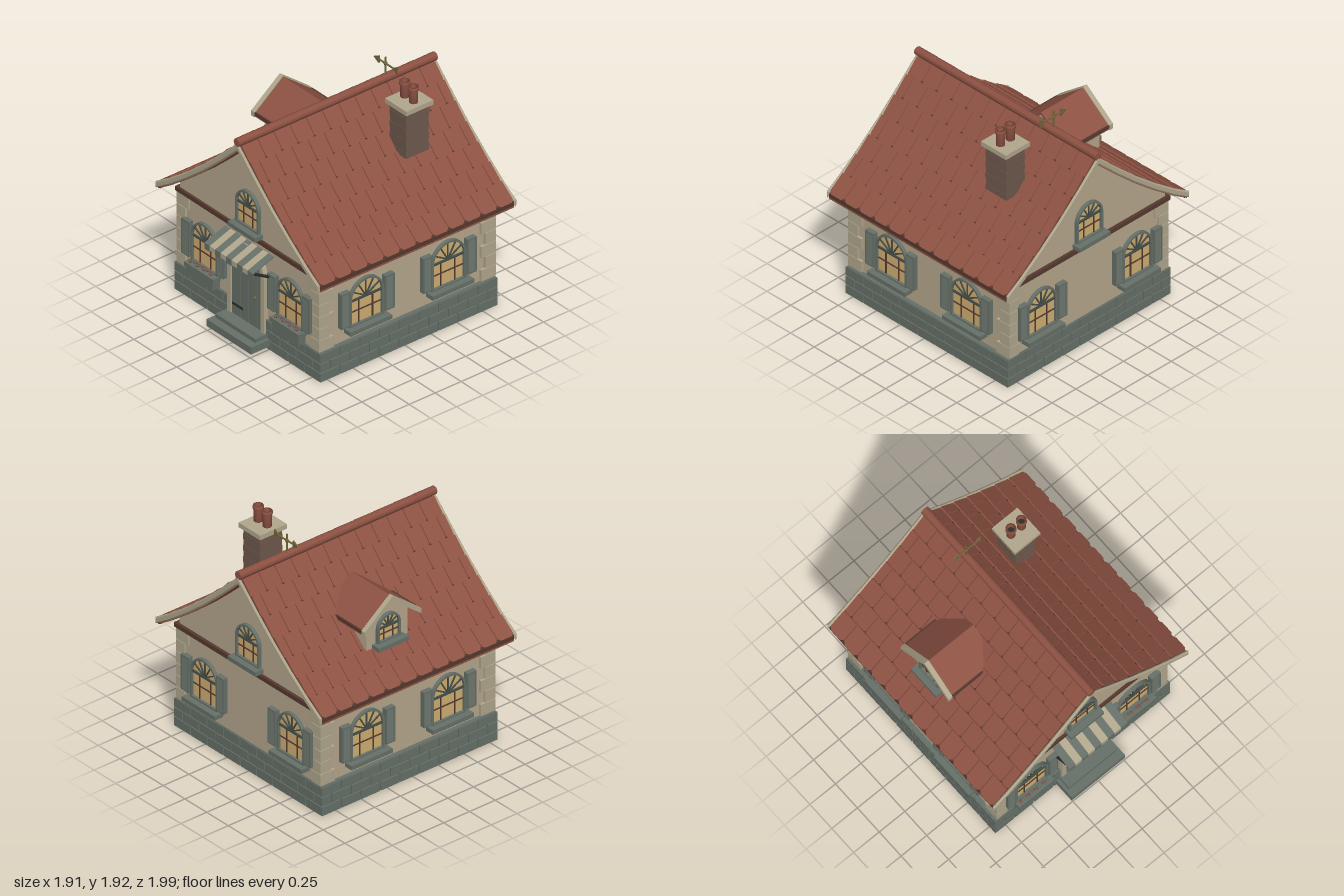
import * as THREE from 'three';
import { mergeGeometries } from 'three/addons/utils/BufferGeometryUtils.js';

const mat = (name, color) => {
  const m = new THREE.MeshStandardMaterial({ color });
  m.name = name;
  return m;
};

export function createModel() {
  const plaster = mat('plaster', 0xb5a68c), trim = mat('pale stone', 0xb0a68c), stone = mat('grey green stone', 0x667068);
  const mortar = mat('mortar', 0x454d48), dark = mat('dark iron', 0x2a2e2b), tileRed = mat('roof tile red', 0x8e5243);
  const brown = mat('dark brown', 0x55392f), brick = mat('chimney brick', 0x6e594c);
  const glass = mat('lit glass', 0xcfae72), brass = mat('aged brass', 0x70653a);

  const house = new THREE.Group();
  house.name = 'cottage';
  const add = (parent, name, geo, m, x = 0, y = 0, z = 0) => {
    const mesh = new THREE.Mesh(geo, m);
    mesh.name = name;
    mesh.position.set(x, y, z);
    parent.add(mesh);
    return mesh;
  };
  const group = (parent, name, x = 0, y = 0, z = 0, ry = 0) => {
    const g = new THREE.Group();
    g.name = name;
    g.position.set(x, y, z);
    g.rotation.y = ry;
    parent.add(g);
    return g;
  };
  // box given by its limits on each axis
  const span = (x0, x1, y0, y1, z0, z1) =>
    new THREE.BoxGeometry(x1 - x0, y1 - y0, z1 - z0).translate((x0 + x1) / 2, (y0 + y1) / 2, (z0 + z1) / 2);
  const extrude = (shape, z0, z1) =>
    new THREE.ExtrudeGeometry(shape, { depth: z1 - z0, bevelEnabled: false, curveSegments: 12 }).translate(0, 0, z0);
  const poly = (pts) => new THREE.Shape(pts.map(([x, y]) => new THREE.Vector2(x, y)));
  const rod = (parent, name, a, b, r, m) => {
    const p = new THREE.Vector3(...a), q = new THREE.Vector3(...b);
    const mesh = add(parent, name, new THREE.CylinderGeometry(r, r, p.distanceTo(q), 8), m);
    mesh.position.copy(p).lerp(q, 0.5);
    mesh.quaternion.setFromUnitVectors(new THREE.Vector3(0, 1, 0), q.sub(p).normalize());
  };
  const arch = (hw, base, spring) => {
    const s = new THREE.Shape();
    s.moveTo(-hw, base);
    s.lineTo(hw, base);
    s.lineTo(hw, spring);
    s.absarc(0, spring, hw, 0, Math.PI, false);
    s.closePath();
    return s;
  };

  const X = 0.81, ZF = 0.80, ZB = -0.87;
  const profile = [[0, 1.7], [0.2, 1.507], [0.4, 1.325], [0.6, 1.16], [0.8, 1.01], [0.945, 0.915]];
  const mirrored = (dy, pts = profile) => [...pts.map(([x, y]) => [-x, y + dy]).reverse(), ...pts.slice(1).map(([x, y]) => [x, y + dy])];
  const band = (top, bottom) => poly([...mirrored(bottom), ...mirrored(top).reverse()]);

  // walls with both gables
  add(house, 'walls', extrude(poly([[-X, 0.2], ...mirrored(-0.03, [...profile.slice(0, 4), [X, 1.003]]), [X, 0.2]]), ZB, ZF), plaster);
  add(house, 'beam', span(-0.845, 0.845, 0.87, 0.907, ZB - 0.025, ZF + 0.02), brown);

  // foundation of staggered blocks over a mortar core
  add(house, 'foundationCore', span(-0.838, 0.838, 0, 0.235, ZB - 0.005, ZF + 0.008), mortar);
  const blocks = [];
  const hw = 0.852, z0 = -0.886, z1 = 0.82, gap = 0.005;
  for (let c = 0; c < 3; c++) {
    const y0 = 0.004 + c * 0.082, y1 = y0 + 0.074;
    const run = (from, to, put) => {
      const n = 9, w = (to - from) / n;
      for (let i = 0; i <= n; i++) {
        const a = Math.max(from, from + (i - (c % 2) / 2) * w), b = Math.min(to, from + (i + 1 - (c % 2) / 2) * w);
        if (b - a > 0.01) put(a === from ? a : a + gap, b === to ? b : b - gap);
      }
    };
    run(-hw, hw, (a, b) => blocks.push(span(a, b, y0, y1, z1 - 0.04, z1), span(a, b, y0, y1, z0, z0 + 0.04)));
    run(z0, z1, (a, b) => blocks.push(span(hw - 0.04, hw, y0, y1, a, b), span(-hw, -hw + 0.04, y0, y1, a, b)));
  }
  blocks.push(span(-0.846, 0.846, 0.236, 0.248, z0 + 0.006, z1 - 0.006));
  add(house, 'foundationBlocks', mergeGeometries(blocks), stone);

  // corner quoins, long and short in turn
  const quoins = [];
  for (const sx of [-1, 1]) for (const sz of [-1, 1]) for (let i = 0; i < 6; i++) {
    const w = i % 2 ? 0.14 : 0.1, d = i % 2 ? 0.1 : 0.14, h = 0.103;
    const cz = sz > 0 ? ZF + 0.015 - d / 2 : ZB - 0.015 + d / 2;
    quoins.push(new THREE.BoxGeometry(w, h - 0.005, d).translate(sx * (0.832 - w / 2), 0.25 + (i + 0.5) * h, cz));
  }
  add(house, 'quoins', mergeGeometries(quoins), trim);

  // roof deck, soffit, chamfered verge boards, eaves and ridge
  const RB = -0.965, RF = 0.9;
  add(house, 'roofDeck', extrude(band(-0.002, -0.03), RB, RF), brown);
  add(house, 'soffit', extrude(band(-0.03, -0.045), RB, RF), tileRed);
  for (const z of [RF, RB - 0.024]) {
    const verge = new THREE.ExtrudeGeometry(band(0.014, -0.022), { depth: 0.004, bevelThickness: 0.01, bevelSize: 0.011, bevelSegments: 1 });
    add(house, 'verge', verge, trim, 0, 0, z + 0.01);
  }
  for (const s of [-1, 1]) add(house, 'eaveBoard', new THREE.BoxGeometry(0.025, 0.042, RF - RB), brown, s * 0.932, 0.902, (RF + RB) / 2);
  for (let i = 0; i < 10; i++) {
    const len = 1.91 / 10;
    add(house, 'ridgeTile', new THREE.CylinderGeometry(0.034, 0.036, len, 8).rotateX(Math.PI / 2), tileRed, 0, 1.737, -0.985 + (i + 0.5) * len);
  }

  // tiles with clipped lower corners, laid in rows down the curved slope
  const path = new THREE.CurvePath();
  for (let i = 1; i < profile.length; i++)
    path.add(new THREE.LineCurve(new THREE.Vector2(...profile[i - 1]), new THREE.Vector2(...profile[i])));
  const tiles = [], rows = 7, cols = 12, tw = (RF - RB) / cols;
  for (const s of [-1, 1]) for (let r = 0; r < rows; r++) {
    const top = path.getPointAt(r / rows), low = path.getPointAt((r + 1) / rows);
    const length = top.distanceTo(low);
    const up = new THREE.Vector3(s * (top.x - low.x), top.y - low.y, 0).normalize();
    const across = new THREE.Vector3(0, 0, -s), out = across.clone().cross(up);
    const basis = new THREE.Matrix4().makeBasis(across, up, out);
    for (let i = 0; i <= cols; i++) {
      const a = Math.max(RB, RB + (i - (r % 2) / 2) * tw), b = Math.min(RF, RB + (i + 1 - (r % 2) / 2) * tw);
      if (b - a < 0.01) continue;
      const w = (b - a) / 2 - 0.003, h = length + (r ? 0.01 : -0.01), c = 0.024;
      const g = extrude(poly([[-w + c, 0], [w - c, 0], [w, c], [w, h], [-w, h], [-w, c]]), 0, 0.012);
      g.rotateX(0.07).translate(0, 0, 0.005).applyMatrix4(basis);
      tiles.push(g.translate(s * low.x, low.y, (a + b) / 2));
    }
  }
  add(house, 'roofTiles', mergeGeometries(tiles), tileRed);

  // arched window facing +z, standing on its sill
  function addWindow(parent, name, x, y, z, ry, w, spring, { shutters = false, planter = false, sill = w + 0.035 } = {}) {
    const g = group(parent, name, x, y, z, ry);
    const frame = arch(w, 0, spring), inner = w - 0.017;
    frame.holes.push(arch(inner, 0.014, spring));
    add(g, 'windowFrame', extrude(frame, -0.01, 0.03), stone);
    add(g, 'pane', new THREE.ShapeGeometry(arch(inner, 0.014, spring)), glass, 0, 0, 0.008);
    const mid = spring * 0.55, grid = [span(-inner, inner, mid - 0.004, mid + 0.004, 0, 0.016)];
    for (const s of [-1, 1]) grid.push(span(s * w * 0.4 - 0.004, s * w * 0.4 + 0.004, 0.01, spring, 0, 0.016));
    add(g, 'glazingBars', mergeGeometries(grid), brown);
    const fan = [span(-inner, inner, spring - 0.008, spring + 0.008, 0, 0.022)];
    for (const a of [-1, -0.5, 0, 0.5, 1])
      fan.push(span(-0.005, 0.005, 0, inner, 0, 0.018).rotateZ(a * 1.05).translate(0, spring, 0));
    add(g, 'fanBars', mergeGeometries(fan), mortar);
    if (planter) {
      add(g, 'planterLip', span(-0.17, 0.17, -0.035, 0, 0, 0.08), stone);
      add(g, 'planterBox', span(-0.155, 0.155, -0.105, -0.035, 0, 0.07), stone);
      for (let i = 0; i < 11; i++)
        add(g, 'flower', new THREE.IcosahedronGeometry(i % 3 ? 0.01 : 0.014, 0), i % 3 === 1 ? stone : tileRed, -0.13 + i * 0.026, 0.01 + (i % 3) * 0.006, 0.05);
    } else add(g, 'sill', span(-sill, sill, -0.036, 0, -0.01, 0.08), stone);
    if (!shutters) return;
    for (const s of [-1, 1]) {
      const sh = group(g, 'shutter', s * (w + 0.047), 0.178, 0);
      const parts = [span(-0.043, 0.043, -0.15, 0.15, 0, 0.03)];
      for (const e of [-1, 1]) parts.push(span(e * 0.038 - 0.006, e * 0.038 + 0.006, -0.152, 0.152, 0, 0.042),
        span(-0.043, 0.043, e * 0.145 - 0.008, e * 0.145 + 0.008, 0, 0.042));
      for (let i = 0; i < 10; i++) parts.push(new THREE.BoxGeometry(0.07, 0.025, 0.008).rotateX(-0.2).translate(0, -0.125 + i * 0.0278, 0.032));
      add(sh, 'louvres', mergeGeometries(parts), stone);
    }
  }
  const full = { shutters: true };
  for (const x of [-0.5, 0.5]) {
    addWindow(house, 'frontWindow', x, 0.355, ZF, 0, 0.155, 0.225, { shutters: true, planter: true });
    addWindow(house, 'backWindow', x, 0.355, ZB, Math.PI, 0.155, 0.225, full);
  }
  for (const s of [-1, 1]) for (const z of [0.36, -0.43])
    addWindow(house, 'sideWindow', s * X, 0.355, z, s * Math.PI / 2, 0.165, 0.22, full);
  addWindow(house, 'frontAtticWindow', 0, 0.955, ZF, 0, 0.135, 0.18, { sill: 0.16 });
  addWindow(house, 'backAtticWindow', 0, 0.955, ZB, Math.PI, 0.135, 0.18, { sill: 0.16 });

  // plank door, arched surround and steps
  const door = group(house, 'door', 0, 0, ZF), spring = 0.6;
  const surround = arch(0.215, 0.12, spring);
  surround.holes.push(arch(0.175, 0.12, spring));
  add(door, 'surround', extrude(surround, -0.01, 0.04), trim);
  add(door, 'doorBack', extrude(arch(0.178, 0.12, spring), -0.01, 0.02), stone);
  for (let i = 0; i < 7; i++) {
    const a = -0.173 + i * 0.0495, edge = Math.max(Math.abs(a), Math.abs(a + 0.0495));
    add(door, 'plank', span(a + 0.002, a + 0.0475, 0.125, spring + Math.sqrt(Math.max(0, 0.175 ** 2 - edge ** 2)), 0, 0.028), stone);
  }
  for (const y of [0.22, 0.56]) add(door, 'hinge', span(-0.16, -0.04, y - 0.009, y + 0.009, 0.02, 0.035), dark);
  add(door, 'knob', new THREE.SphereGeometry(0.014, 12, 8), brass, 0.11, 0.395, 0.04);
  add(house, 'lowerStep', span(-0.26, 0.26, 0.035, 0.095, 0.8, 1.0), stone);
  add(house, 'upperStep', span(-0.232, 0.232, 0.09, 0.13, 0.8, 0.935), stone);

  // striped awning with a hanging front edge
  const awning = group(house, 'awning');
  for (let i = 0; i < 9; i++) {
    const m = i % 2 ? trim : stone, low = i % 2 ? 0.712 : 0.7;
    const section = poly([[0.8, 0.818], [0.995, 0.748], [0.995, low], [1.0, low], [1.0, 0.754], [0.8, 0.826]]);
    add(awning, 'awningStripe', extrude(section, 0, 0.0633).rotateY(-Math.PI / 2), m, -0.285 + (i + 1) * 0.0633);
  }
  for (const s of [-1, 1]) rod(awning, 'bracket', [s * 0.265, 0.64, 0.81], [s * 0.265, 0.742, 0.988], 0.012, dark);

  // dormer on the left slope
  const dormer = group(house, 'dormer', 0, 0, -0.11, -Math.PI / 2);
  const chevron = (t, b) => poly([[-0.275, 1.345 + b], [0, 1.56 + b], [0.275, 1.345 + b], [0.275, 1.345 + t], [0, 1.56 + t], [-0.275, 1.345 + t]]);
  add(dormer, 'dormerWalls', extrude(poly([[-0.2, 1.08], [0.2, 1.08], [0.2, 1.385], [0, 1.54], [-0.2, 1.385]]), 0.33, 0.68), plaster);
  add(dormer, 'dormerRoof', extrude(chevron(0, -0.025), 0.27, 0.71), tileRed);
  add(dormer, 'dormerVerge', extrude(chevron(0.01, -0.035), 0.71, 0.75), trim);
  for (const s of [-1, 1]) add(dormer, 'dormerEave', span(s * 0.268 - 0.008, s * 0.268 + 0.008, 1.33, 1.355, 0.4, 0.71), brown);
  addWindow(dormer, 'dormerWindow', 0, 1.17, 0.68, 0, 0.11, 0.12, { sill: 0.145 });

  // chimney with slightly stepped courses
  const chimney = group(house, 'chimney', 0.4, 0, -0.407);
  for (let i = 0; i < 8; i++) {
    const k = i % 2 ? 0.004 : 0;
    add(chimney, 'course', new THREE.BoxGeometry(0.196 - k, 0.05, 0.218 - k), brick, 0, 1.37 + i * 0.05, 0);
  }
  add(chimney, 'cap', span(-0.125, 0.125, 1.742, 1.782, -0.131, 0.131), trim);
  const potProfile = [[0, 1.77], [0.035, 1.77], [0.035, 1.885], [0.042, 1.888], [0.042, 1.918], [0.026, 1.918], [0.026, 1.84]];
  for (const s of [-1, 1]) {
    add(chimney, 'pot', new THREE.LatheGeometry(potProfile.map((p) => new THREE.Vector2(...p)), 10), tileRed, s * 0.051, 0, 0);
    add(chimney, 'flue', new THREE.CylinderGeometry(0.027, 0.027, 0.03, 10), dark, s * 0.051, 1.86, 0);
  }

  // weathervane on the ridge
  const vane = group(house, 'weathervane', 0, 0, -0.51);
  rod(vane, 'pole', [0, 1.73, 0], [0, 1.915, 0], 0.008, brass);
  rod(vane, 'arrowShaft', [-0.09, 1.86, 0], [0.13, 1.86, 0], 0.007, brass);
  add(vane, 'arrowHead', extrude(poly([[-0.135, 1.86], [-0.075, 1.828], [-0.075, 1.892]]), -0.006, 0.006), brass);
  add(vane, 'arrowTail', extrude(poly([[0.085, 1.86], [0.14, 1.825], [0.14, 1.895]]), -0.006, 0.006), brass);
  add(vane, 'hub', new THREE.SphereGeometry(0.015, 10, 8), brass, 0, 1.86, 0);
  return house;
}
